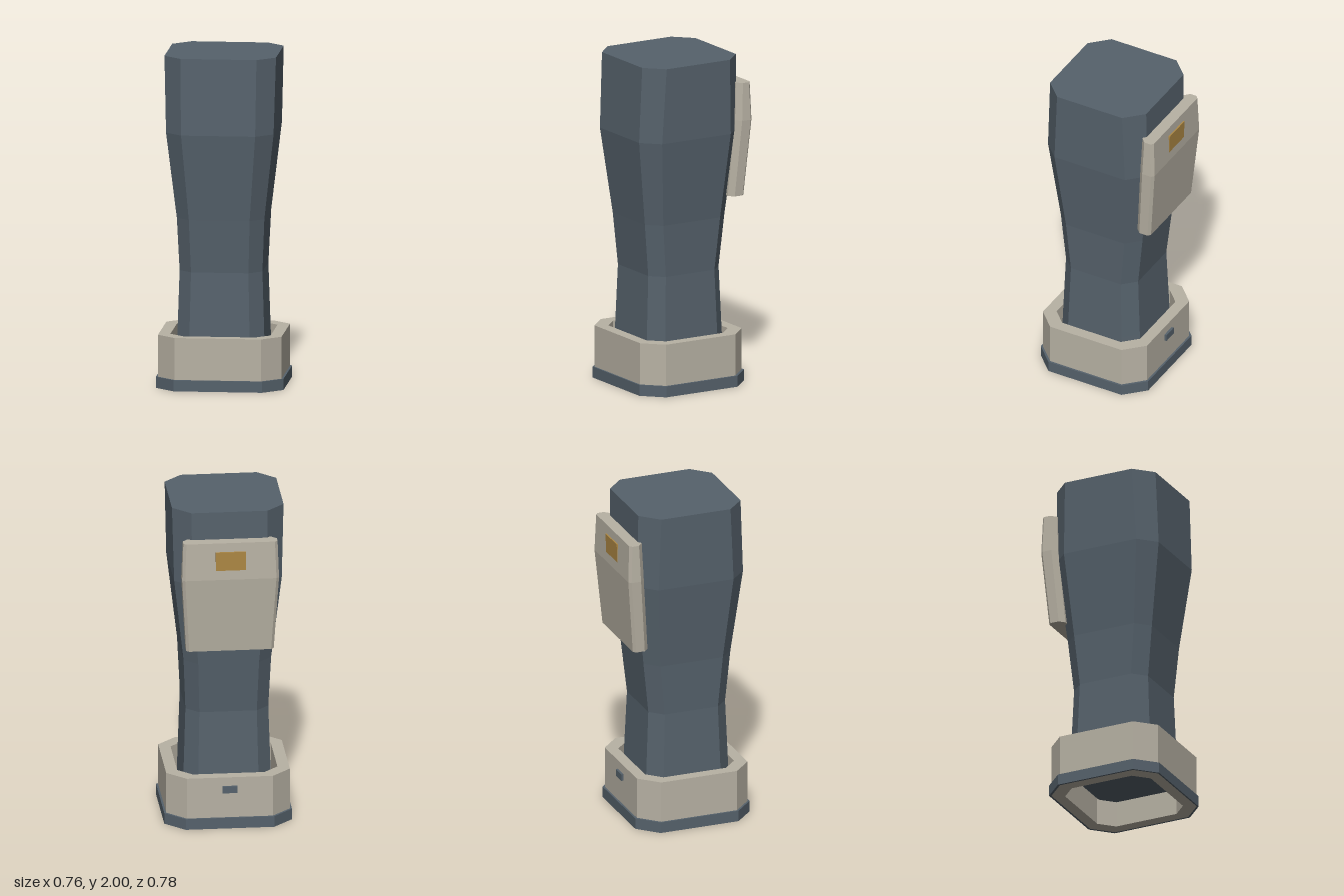
import * as THREE from 'three';

// Rectangle with cut corners as [x, z] points, running from +z round to +x.
// cf / cb: corner cut [x, z] at the front and at the back.
function cutRect(hx, zf, zb, cf, cb = cf) {
  const half = [
    [hx - cf[0], zf], [hx, zf - cf[1]],
    [hx, zb + cb[1]], [hx - cb[0], zb],
  ];
  return [...half, ...half.map(([x, z]) => [-x, z]).reverse()];
}

// Closed solid through a stack of sections { y, pts }, lowest first.
function loft(sections) {
  const pos = [];
  const add = (s, i) => pos.push(s.pts[i][0], s.y, s.pts[i][1]);
  const n = sections[0].pts.length;
  for (let k = 0; k < sections.length - 1; k++) {
    const lo = sections[k], up = sections[k + 1];
    for (let i = 0; i < n; i++) {
      const j = (i + 1) % n;
      add(lo, i); add(lo, j); add(up, j);
      add(lo, i); add(up, j); add(up, i);
    }
  }
  const bottom = sections[0], top = sections[sections.length - 1];
  for (let i = 1; i < n - 1; i++) {
    add(top, 0); add(top, i); add(top, i + 1);
    add(bottom, 0); add(bottom, i + 1); add(bottom, i);
  }
  const g = new THREE.BufferGeometry();
  g.setAttribute('position', new THREE.Float32BufferAttribute(pos, 3));
  g.computeVertexNormals();
  return g;
}

// Upright band between an outer and an inner outline.
function band(outer, inner, y0, y1) {
  const toVec = (pts) => pts.map(([x, z]) => new THREE.Vector2(x, -z));
  const shape = new THREE.Shape(toVec(outer));
  shape.holes.push(new THREE.Path(toVec(inner)));
  const g = new THREE.ExtrudeGeometry(shape, { depth: y1 - y0, bevelEnabled: false });
  return g.rotateX(-Math.PI / 2).translate(0, y0, 0);
}

export function createModel() {
  const material = (name, color) => {
    const m = new THREE.MeshStandardMaterial({ color });
    m.name = name;
    m.flatShading = true;
    return m;
  };
  const slate = material('slate blue', 0x56626c);
  const beige = material('warm beige', 0xb8b2a4);
  const gold = material('ochre', 0xb08a45);

  const model = new THREE.Group();
  model.name = 'model';
  const part = (name, geometry, mat) => {
    const mesh = new THREE.Mesh(geometry, mat);
    mesh.name = name;
    model.add(mesh);
    return mesh;
  };

  // Shaft: y, half width, front z, back z, corner cut
  const shaft = [
    [0.13, 0.245, 0.265, -0.22, 0.075],
    [0.15, 0.265, 0.29, -0.245, 0.08],
    [0.32, 0.26, 0.285, -0.238, 0.08],
    [0.70, 0.248, 0.27, -0.222, 0.076],
    [1.02, 0.262, 0.3, -0.257, 0.08],
    [1.54, 0.322, 0.365, -0.315, 0.1],
    [2.00, 0.334, 0.347, -0.308, 0.106],
  ];
  part('shaft', loft(shaft.map(([y, hx, zf, zb, c]) => ({ y, pts: cutRect(hx, zf, zb, [c, c]) }))), slate);

  // Cuff around the foot of the shaft, with a trim band at its base
  const cuffOutline = cutRect(0.37, 0.38, -0.33, [0.112, 0.112]);
  const cuffInner = cutRect(0.3, 0.31, -0.26, [0.085, 0.085]);
  part('cuff', band(cuffOutline, cuffInner, 0, 0.32), beige);
  part('baseTrim', band(cutRect(0.382, 0.39, -0.342, [0.117, 0.117]), cuffOutline, 0, 0.067), slate);

  // Small latch on the back of the cuff
  part('latch', new THREE.BoxGeometry(0.09, 0.042, 0.03), slate).position.set(0, 0.245, -0.329);

  // Back plate, bent at its widest section: y, half width, inner z, outer z
  const plate = [
    [1.135, 0.262, -0.25, -0.35],
    [1.60, 0.29, -0.285, -0.39],
    [1.83, 0.282, -0.295, -0.382],
  ];
  part('backPlate', loft(plate.map(([y, hx, zi, zo]) => ({
    y, pts: cutRect(hx, zi, zo, [0.032, 0.03], [0.017, 0.015]),
  }))), beige);

  // Coloured tag on the upper face of the plate
  const tag = part('tag', new THREE.BoxGeometry(0.18, 0.12, 0.008), gold);
  tag.position.set(0, 1.715, -0.386);
  tag.rotation.x = Math.atan2(-0.008, 0.23);

  return model;
}
